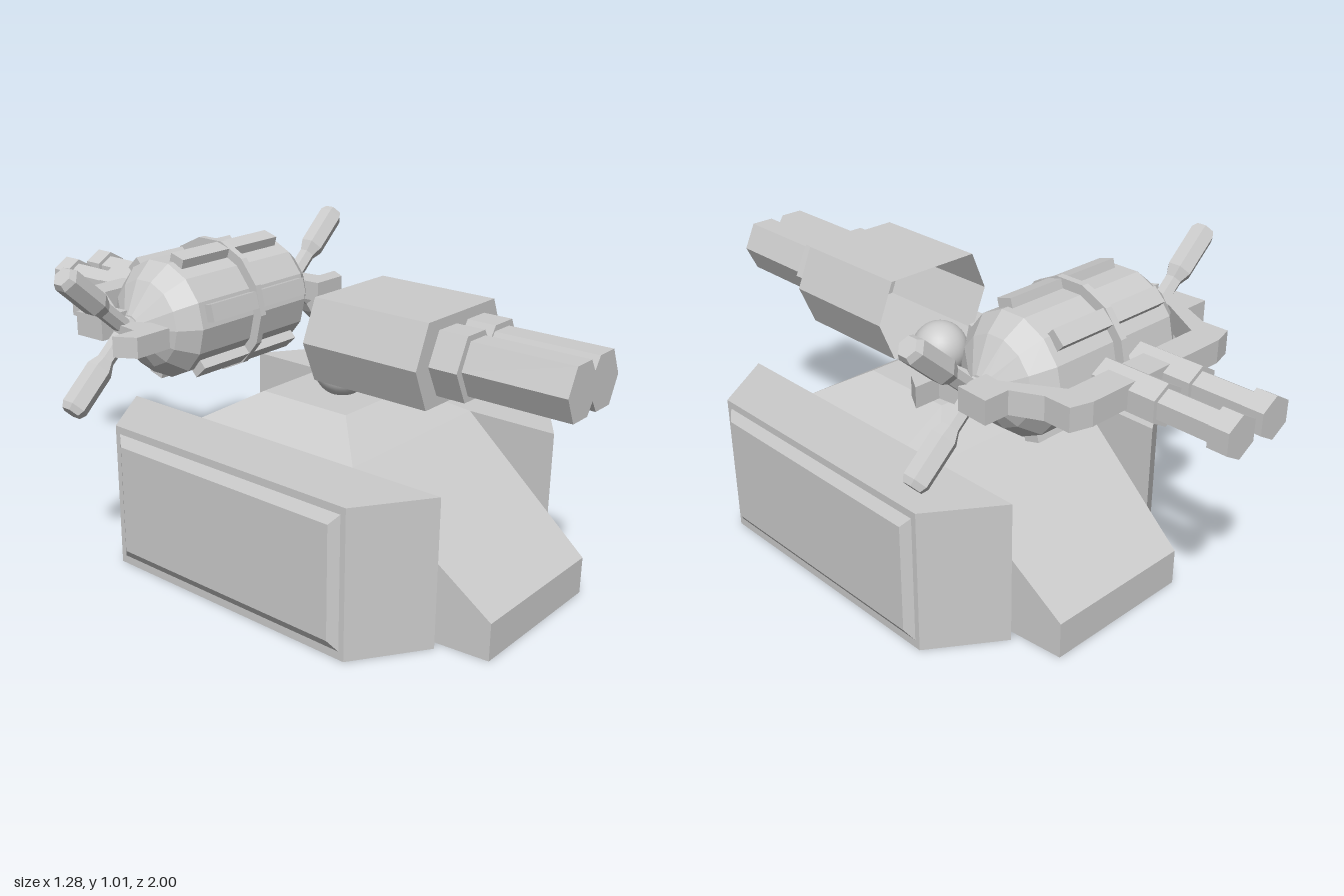
import * as THREE from 'three';

const mat = new THREE.MeshStandardMaterial({ color: 0xcccccc, flatShading: true });
const smoothMat = new THREE.MeshStandardMaterial({ color: 0xcccccc });
const shellMat = new THREE.MeshStandardMaterial({ color: 0xcccccc, flatShading: true, side: THREE.DoubleSide });

function add(parent, name, geometry, material = mat) {
  const mesh = new THREE.Mesh(geometry, material);
  mesh.name = name;
  parent.add(mesh);
  return mesh;
}

// Skin over rings of [x, y, z]; rings run counter-clockwise seen from the first end
function loft(rings, capLast = true) {
  const out = [];
  const n = rings[0].length;
  for (let i = 0; i < rings.length - 1; i++) {
    for (let j = 0; j < n; j++) {
      const k = (j + 1) % n;
      const [a, b, c, d] = [rings[i][j], rings[i + 1][j], rings[i + 1][k], rings[i][k]];
      out.push(...a, ...b, ...c, ...a, ...c, ...d);
    }
  }
  const first = rings[0], last = rings[rings.length - 1];
  for (let j = 1; j < n - 1; j++) {
    out.push(...first[0], ...first[j], ...first[j + 1]);
    if (capLast) out.push(...last[0], ...last[j + 1], ...last[j]);
  }
  const g = new THREE.BufferGeometry();
  g.setAttribute('position', new THREE.Float32BufferAttribute(out, 3));
  g.computeVertexNormals();
  return g;
}

const shapeOf = (pts) => new THREE.Shape(pts.map(([x, y]) => new THREE.Vector2(x, y)));
const extrude = (pts, depth) => new THREE.ExtrudeGeometry(shapeOf(pts), { depth, bevelEnabled: false });
// Plan outline of [x, z] raised from y0 to y1
const slab = (pts, y0, y1) =>
  extrude(pts.map(([x, z]) => [x, -z]), y1 - y0).rotateX(-Math.PI / 2).translate(0, y0, 0);
const lathe = (pts, sides) =>
  new THREE.LatheGeometry(pts.map(([r, y]) => new THREE.Vector2(r, y)), sides);

function buildBase() {
  const base = new THREE.Group();
  base.name = 'base';
  base.position.set(0.08, 0, 0.122);

  // Central hull: z, half width, shoulder height, top half width, top height
  const sections = [
    [0.766, 0.26, 0.12, 0.26, 0.12],
    [0.306, 0.305, 0.475, 0.305, 0.475],
    [0.165, 0.305, 0.475, 0.163, 0.56],
    [-0.165, 0.305, 0.475, 0.163, 0.56],
    [-0.306, 0.305, 0.475, 0.305, 0.475],
    [-0.766, 0.26, 0.12, 0.26, 0.12],
  ];
  add(base, 'hull', loft(sections.map(([z, w, s, t, h]) =>
    [[-w, 0, z], [w, 0, z], [w, s, z], [t, h, z], [-t, h, z], [-w, s, z]])));

  // Side pods with raised bevelled panels
  const panelRing = (x, y0, y1, z) => [[x, y0, -z], [x, y1, -z], [x, y1, z], [x, y0, z]];
  for (const side of ['left', 'right']) {
    const pod = new THREE.Group();
    pod.name = side + 'SidePod';
    pod.rotation.y = side === 'left' ? 0 : Math.PI;
    add(pod, 'podBlock', slab(
      [[0.305, 0.612], [0.53, 0.46], [0.53, -0.46], [0.305, -0.612]], 0, 0.475));
    add(pod, 'podPanel', loft([
      panelRing(0.552, 0.06, 0.42, 0.415), panelRing(0.529, 0.025, 0.452, 0.443)]));
    base.add(pod);
  }
  return base;
}

function buildCannon() {
  const cannon = new THREE.Group();
  cannon.name = 'frontCannon';
  cannon.position.set(0.083, 0.775, 0);

  const ball = add(cannon, 'ballJoint', new THREE.SphereGeometry(0.09, 32, 20), smoothMat);
  ball.position.set(0, -0.138, 0.14);

  // Hexagonal housing, open at the back
  const hex = [[-0.167, -0.13], [0.167, -0.13], [0.222, 0], [0.167, 0.13], [-0.167, 0.13], [-0.222, 0]];
  const ring = (z) => hex.map(([x, y]) => [x, y, z]);
  add(cannon, 'cannonHousing', loft([ring(0.575), ring(0.165)], false), shellMat);

  // Twin barrel outline: two joined hexagons with notches above and below
  const twin = (w, top, flat, gap, notch) => [
    [w, 0], [flat, top], [gap, top], [0, notch], [-gap, top], [-flat, top],
    [-w, 0], [-flat, -top], [-gap, -top], [0, -notch], [gap, -top], [flat, -top]];
  add(cannon, 'barrelCollar', extrude(twin(0.163, 0.098, 0.115, 0.028, 0.055), 0.1)).position.z = 0.57;
  add(cannon, 'twinBarrels', extrude(twin(0.139, 0.081, 0.1, 0.024, 0.043), 0.34)).position.z = 0.66;
  return cannon;
}

function buildDrone() {
  const drone = new THREE.Group();
  drone.name = 'drone';
  drone.position.set(0, 0.775, -0.34);

  // Faceted barrel body lying along x
  const half = [[0, 0.375], [0.04, 0.37], [0.14, 0.305], [0.19, 0.24]];
  const profile = [...half.map(([r, y]) => [r, -y]), ...half.slice().reverse()];
  add(drone, 'droneBody', lathe(profile, 14).rotateZ(Math.PI / 2));
  add(drone, 'centreRing', new THREE.CylinderGeometry(0.222, 0.222, 0.024, 14).rotateZ(Math.PI / 2));

  // Strips around the body
  for (let i = 0; i < 6; i++) {
    const strip = add(drone, 'bodyStrip',
      new THREE.BoxGeometry(0.432, 0.035, 0.055).translate(0, 0.197, 0));
    strip.rotation.x = THREE.MathUtils.degToRad(46 + i * 60 - 90);
  }

  // Four diagonal prongs, two at each end
  const prong = lathe(
    [[0, -0.03], [0.028, -0.03], [0.028, 0.12], [0.043, 0.155], [0.043, 0.295], [0.032, 0.315], [0, 0.315]], 6);
  for (const sx of [1, -1]) {
    for (const sy of [1, -1]) {
      const p = add(drone, 'prong', prong);
      p.position.x = sx * 0.385;
      p.rotation.z = -sx * THREE.MathUtils.degToRad(sy > 0 ? 48 : 132);
    }
  }

  // Bracket wrapping the back and both ends
  const outline = [[0.27, -0.33], [0.34, -0.31], [0.34, -0.22], [0.385, -0.13], [0.47, -0.13], [0.465, -0.02],
    [0.36, -0.02], [0.365, -0.07], [0.265, -0.235]];
  const mirrored = outline.map(([x, z]) => [-x, z]).reverse();
  add(drone, 'bracket', slab([...outline, ...mirrored], -0.025, 0.05));

  // Claws at the front of each bracket arm
  for (const s of [1, -1]) {
    add(drone, 'claw', slab(
      [[0.34, -0.04], [0.42, -0.04], [0.435, 0.09], [0.52, 0.09], [0.48, 0.155], [0.35, 0.155]]
        .map(([x, z]) => [s * x, z]), -0.04, 0.025));
  }

  // Pair of stepped hexagonal guns pointing backward
  const gun = lathe([[0, 0.2], [0.066, 0.2], [0.066, 0.42], [0.051, 0.42], [0.051, 0.595],
    [0.066, 0.595], [0.066, 0.66], [0, 0.66]], 6).rotateX(-Math.PI / 2);
  for (const s of [1, -1]) add(drone, 'rearGun', gun).position.x = s * 0.074;
  return drone;
}

export function createModel() {
  const model = new THREE.Group();
  model.name = 'turretVehicle';
  model.add(buildBase(), buildCannon(), buildDrone());
  return model;
}
